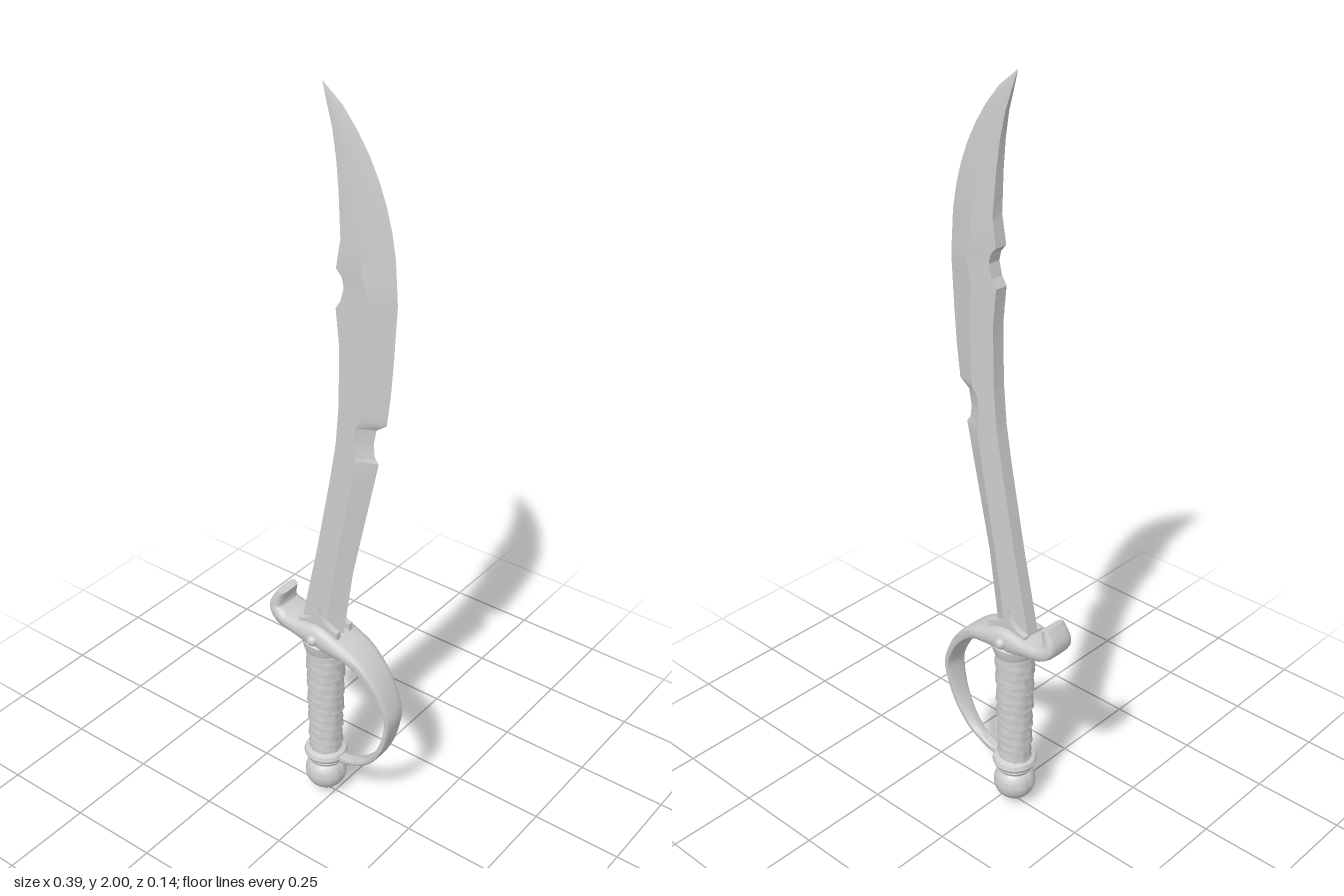
import * as THREE from 'three';
import { toCreasedNormals } from 'three/addons/utils/BufferGeometryUtils.js';

const AXIS = -0.033; // x of the hilt axis
const steel = new THREE.MeshStandardMaterial({ color: 0xcccccc });
steel.name = 'steel grey';

// Skin closed rings (counter-clockwise about the direction of travel) and cap both ends
function loft(rings, crease) {
  const n = rings[0].length, pos = [], idx = [];
  rings.forEach(r => r.forEach(p => pos.push(...p)));
  for (let i = 0; i < rings.length - 1; i++) {
    for (let j = 0; j < n; j++) {
      const a = i * n + j, b = i * n + (j + 1) % n;
      idx.push(a, b, b + n, a, b + n, a + n);
    }
  }
  const last = (rings.length - 1) * n;
  for (let j = 1; j < n - 1; j++) {
    idx.push(0, j + 1, j);
    idx.push(last, last + j, last + j + 1);
  }
  const g = new THREE.BufferGeometry();
  g.setAttribute('position', new THREE.Float32BufferAttribute(pos, 3));
  g.setIndex(idx);
  return toCreasedNormals(g, crease);
}

// Linear lookup of x at height y along [y, x] points
function xAt(points, y) {
  for (let i = 1; i < points.length; i++) {
    const [y0, x0] = points[i - 1], [y1, x1] = points[i];
    if (y <= y1) return x0 + (x1 - x0) * (y - y0) / (y1 - y0);
  }
  return points[points.length - 1][1];
}

// Curved blade: thick spine on -x, sharp edge on +x, a chip in each
function bladeGeometry() {
  const spine = [[0.53, -0.1], [0.577, -0.093], [0.804, -0.045], [1.026, -0.003], [1.13, 0.014],
    [1.24, 0.023], [1.397, 0.024], [1.488, 0.014], [1.51, 0.028], [1.545, 0.037], [1.57, 0.031],
    [1.587, 0.015], [1.66, 0.026], [1.767, 0.018], [1.84, 0.009], [1.905, -0.004], [2, -0.035]];
  const edge = [[0.53, 0.024], [0.587, 0.031], [0.762, 0.056], [0.92, 0.09], [1.106, 0.13],
    [1.12, 0.118], [1.153, 0.114], [1.196, 0.122], [1.217, 0.151], [1.3, 0.161], [1.397, 0.168],
    [1.53, 0.175], [1.64, 0.167], [1.7, 0.156], [1.757, 0.14], [1.81, 0.119], [1.862, 0.092],
    [1.91, 0.06], [1.958, 0.02], [2, -0.033]];
  const ys = [...new Set([...spine, ...edge].map(p => p[0]))].sort((a, b) => a - b);
  return loft(ys.map(y => {
    const l = xAt(spine, y), r = xAt(edge, y);
    const m = l + (r - l) * THREE.MathUtils.lerp(0.65, 0.4, (y - 0.53) / 1.47);
    const k = Math.max(0.02, Math.min(1, Math.pow((2 - y) / 0.4, 0.7)));
    const ridge = 0.022 * k, back = 0.018 * k;
    return [[m, y, ridge], [r, y, 0], [m, y, -ridge], [l, y, -back], [l, y, back]];
  }), 0.3);
}

// Crossguard and knuckle bow in one sweep: x, y, half thickness, half width in z
function guardGeometry() {
  const stations = [[-0.16, 0.626, 0.012, 0.036], [-0.175, 0.578, 0.02, 0.043], [-0.15, 0.553, 0.022, 0.05],
    [-0.1, 0.546, 0.022, 0.055], [AXIS, 0.541, 0.035, 0.058], [0.03, 0.53, 0.025, 0.056],
    [0.09, 0.508, 0.018, 0.05], [0.145, 0.455, 0.014, 0.043], [0.184, 0.38, 0.01, 0.036],
    [0.187, 0.33, 0.009, 0.032], [0.165, 0.25, 0.009, 0.026], [0.12, 0.18, 0.009, 0.02],
    [0.06, 0.14, 0.01, 0.015], [0, 0.128, 0.012, 0.013]];
  const curve = f => new THREE.CatmullRomCurve3(stations.map(f), false, 'catmullrom', 0.5);
  const path = curve(s => new THREE.Vector3(s[0], s[1], 0));
  const size = curve(s => new THREE.Vector3(s[2], s[3], 0));
  const rings = [];
  for (let i = 0; i <= 64; i++) {
    const p = path.getPoint(i / 64), t = path.getTangent(i / 64), s = size.getPoint(i / 64);
    const ring = [];
    for (let j = 0; j < 16; j++) {
      const a = j / 16 * Math.PI * 2;
      // rounded rectangle section
      const u = Math.sign(Math.cos(a)) * Math.sqrt(Math.abs(Math.cos(a))) * s.x;
      const v = Math.sign(Math.sin(a)) * Math.sqrt(Math.abs(Math.sin(a))) * s.y;
      ring.push([p.x - t.y * u, p.y + t.x * u, v]);
    }
    rings.push(ring);
  }
  return loft(rings, 0.8);
}

// Grip wrapped in an overlapping spiral band with a worn surface
function gripGeometry() {
  const rings = [];
  for (let i = 0; i <= 110; i++) {
    const f = i / 110, y = 0.13 + f * 0.4, ring = [];
    for (let j = 0; j < 32; j++) {
      const a = j / 32 * Math.PI * 2;
      const turn = f * 7 + j / 32;
      const lap = turn - Math.floor(turn);
      const wear = 0.0012 * Math.sin(a * 5 + y * 90) * Math.sin(a * 3 - y * 140);
      const r = 0.041 + 0.01 * f + 0.005 * (1 - lap) + wear;
      ring.push([AXIS + Math.sin(a) * r, y, Math.cos(a) * r]);
    }
    rings.push(ring);
  }
  return loft(rings, 0.7);
}

// Turned parts around the hilt axis
function turned(points) {
  const g = new THREE.LatheGeometry(points.map(p => new THREE.Vector2(...p)), 40);
  g.translate(AXIS, 0, 0);
  return toCreasedNormals(g, 0.6);
}

// Pointed plate on each face of the blade root
function langetGeometry() {
  const s = new THREE.Shape();
  s.moveTo(-0.064, 0.55);
  s.lineTo(0.064, 0.55);
  s.lineTo(0.062, 0.575);
  s.quadraticCurveTo(0.012, 0.585, 0, 0.627);
  s.quadraticCurveTo(-0.012, 0.585, -0.062, 0.575);
  s.closePath();
  return new THREE.ExtrudeGeometry(s, { depth: 0.016, bevelEnabled: false, curveSegments: 8 });
}

export function createModel() {
  const model = new THREE.Group();
  model.name = 'curvedSabre';
  const add = (name, geometry) => {
    const mesh = new THREE.Mesh(geometry, steel);
    mesh.name = name;
    model.add(mesh);
    return mesh;
  };

  add('blade', bladeGeometry());
  add('guardAndKnuckleBow', guardGeometry());
  add('grip', gripGeometry());
  add('upperFerrule', turned([[0.045, 0.488], [0.055, 0.49], [0.059, 0.5], [0.061, 0.52], [0.05, 0.535]]));
  add('pommelCollar', turned([[0.03, 0.105], [0.046, 0.108], [0.05, 0.117], [0.047, 0.123],
    [0.056, 0.126], [0.06, 0.135], [0.056, 0.146], [0.042, 0.152]]));

  // Ball pommel ending in a small button
  const ball = [[0.0001, 0], [0.012, 0.002], [0.02, 0.009], [0.023, 0.014]];
  for (let i = 0; i <= 14; i++) {
    const a = -1.1 + i / 14 * 2.1;
    ball.push([Math.cos(a) * 0.057, 0.066 + Math.sin(a) * 0.055]);
  }
  add('pommel', turned(ball));

  // Langets and domed rivets, mirrored front and back
  for (const side of [1, -1]) {
    const name = side > 0 ? 'front' : 'back';
    const langet = add(name + 'Langet', langetGeometry());
    langet.position.set(AXIS, 0, side * 0.018);
    langet.rotation.y = side > 0 ? 0 : Math.PI;
    const rivet = add(name + 'Rivet', new THREE.SphereGeometry(0.016, 20, 12));
    rivet.position.set(AXIS, 0.541, side * 0.055);
  }
  return model;
}
